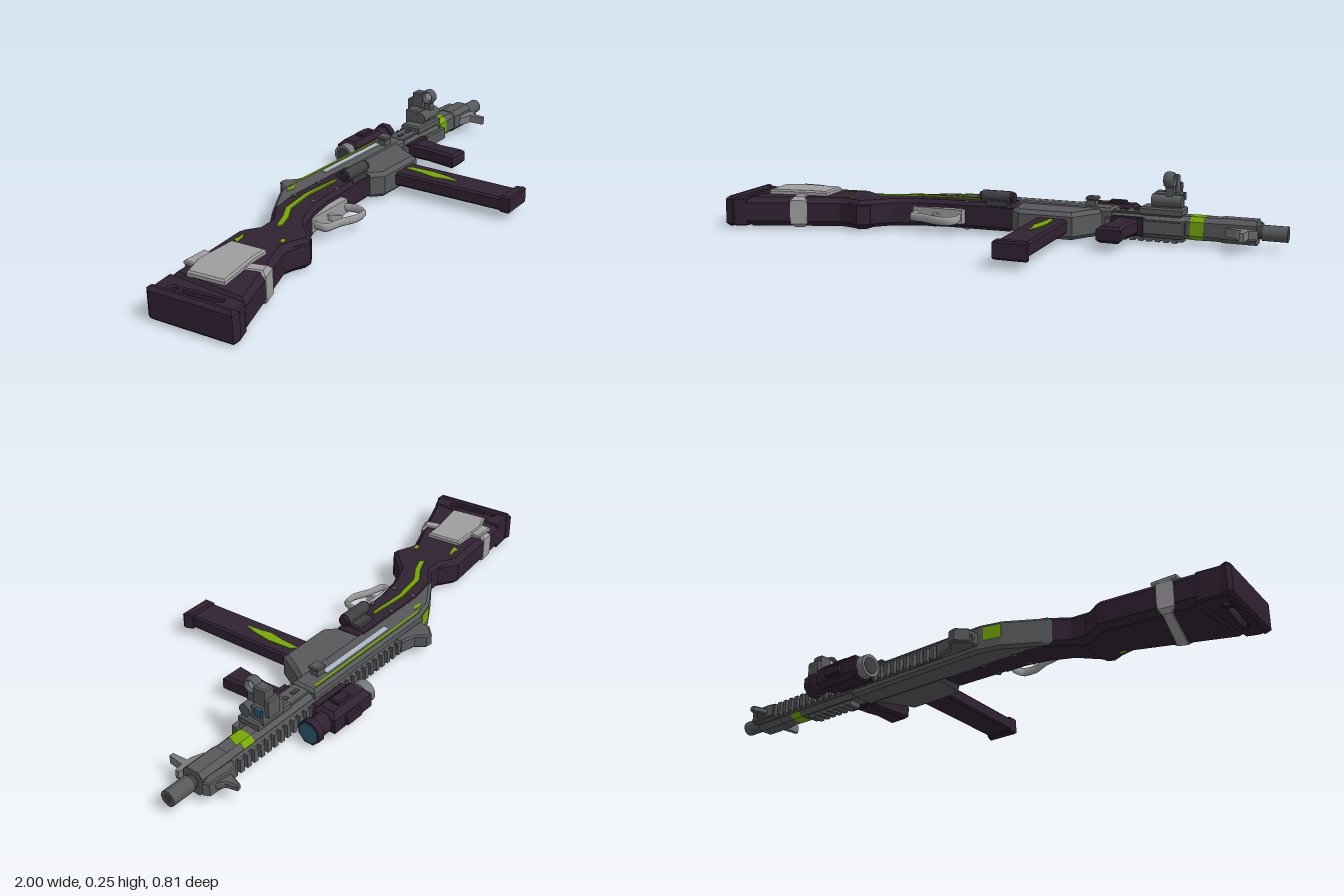
import * as THREE from 'three';

const M = {};
for (const [name, color] of Object.entries({
  darkPlum: 0x302232, gunGrey: 0x58595b, shadowGrey: 0x404043, midGrey: 0x77787a, lightGrey: 0x9e9e9e,
  paleSteel: 0xaebac4, acidGreen: 0x76a803, tealGlass: 0x2a5e74,
})) M[name] = new THREE.MeshStandardMaterial({ color, name });
const MID = 0.058; // middle of the thickness

export function createModel() {
  // Built upright: x forward, y up, z sideways; laid on its side at the end.
  const gun = new THREE.Group();
  gun.name = 'carbine';
  const add = (name, geo, mat) => {
    const m = new THREE.Mesh(geo, M[mat]);
    m.name = name;
    gun.add(m);
    return m;
  };
  // Side profile extruded from z0 to z1 with an inward chamfer
  const slab = (name, pts, z0, z1, mat, bevel = 0, holes = []) => {
    const s = new THREE.Shape(pts.map(p => new THREE.Vector2(...p)));
    for (const h of holes) s.holes.push(new THREE.Path(h.map(p => new THREE.Vector2(...p))));
    const geo = new THREE.ExtrudeGeometry(s, {
      depth: z1 - z0 - 2 * bevel, bevelEnabled: bevel > 0, bevelThickness: bevel,
      bevelSize: bevel, bevelOffset: -bevel, bevelSegments: 1,
    });
    geo.translate(0, 0, z0 + bevel);
    return add(name, geo, mat);
  };
  const box = (name, x0, x1, y0, y1, z0, z1, mat, bevel = 0) =>
    slab(name, [[x0, y0], [x1, y0], [x1, y1], [x0, y1]], z0, z1, mat, bevel);
  // Cylinder along x
  const tube = (name, x0, x1, y, z, r, mat, sides = 16) => {
    const geo = new THREE.CylinderGeometry(r, r, x1 - x0, sides);
    geo.rotateY(Math.PI / sides).rotateZ(-Math.PI / 2).translate((x0 + x1) / 2, y, z);
    return add(name, geo, mat);
  };
  // Eight-sided bar along x with corners cut by c
  const octagonBar = (name, x0, x1, y, h, w, c, mat) => {
    const pts = [[-w + c, -h], [w - c, -h], [w, -h + c], [w, h - c], [w - c, h], [-w + c, h], [-w, h - c], [-w, -h + c]];
    const geo = new THREE.ExtrudeGeometry(new THREE.Shape(pts.map(p => new THREE.Vector2(...p))),
      { depth: x1 - x0, bevelEnabled: false });
    return add(name, geo.rotateY(Math.PI / 2).translate(x0, y, MID), mat);
  };
  const ring = (cx, cy, r, n = 12) => Array.from({ length: n }, (_, i) =>
    [cx + r * Math.cos(i / n * 2 * Math.PI), cy + r * Math.sin(i / n * 2 * Math.PI)]);

  // Stock
  slab('buttEnd', [[-0.985, 0.12], [-0.955, -0.178], [-0.93, -0.18], [-0.89, -0.165], [-0.89, 0.133]],
    0.007, 0.109, 'darkPlum', 0.005,
    [[[-0.955, 0.03], [-0.935, 0.035], [-0.912, -0.105], [-0.925, -0.112], [-0.935, -0.1]], ring(-0.95, 0.062, 0.013)]);
  slab('buttPad', [[-1, 0.115], [-0.99, 0.13], [-0.968, 0.125], [-0.938, -0.187], [-0.968, -0.185]],
    0.004, 0.116, 'darkPlum', 0.011);
  slab('stockBody', [[-0.895, 0.133], [-0.895, -0.168], [-0.57, -0.042], [-0.53, -0.05], [-0.48, -0.072],
    [-0.44, -0.045], [-0.44, 0.13], [-0.49, 0.125], [-0.56, 0.168]], 0.006, 0.113, 'darkPlum', 0.02);
  slab('grip', [[-0.56, -0.03], [-0.52, -0.05], [-0.475, -0.068], [-0.445, -0.045], [-0.38, 0.025], [-0.3, 0.06],
    [-0.2, 0.08], [0.06, 0.09], [0.06, 0.203], [-0.26, 0.203], [-0.36, 0.185], [-0.44, 0.13], [-0.5, 0.125], [-0.56, 0.16]],
    0.013, 0.113, 'darkPlum', 0.014);
  slab('stockPlate', [[-0.88, 0.075], [-0.8, 0.105], [-0.65, 0.105], [-0.635, -0.025], [-0.7, -0.03], [-0.86, -0.06]],
    0.105, 0.13, 'lightGrey', 0.006);
  // Strap runs diagonally round the stock
  slab('stockStrap', [[-0.82, 0.142], [-0.765, 0.149], [-0.68, -0.088], [-0.738, -0.111]], 0.003, 0.117, 'lightGrey', 0.014);
  box('strapBuckle', -0.83, -0.74, 0.09, 0.135, 0.11, 0.126, 'lightGrey', 0.004);

  // Painted green splashes
  slab('gripStripe', [[-0.47, 0.075], [-0.41, 0.1], [-0.35, 0.137], [-0.22, 0.157], [-0.07, 0.148],
    [-0.07, 0.138], [-0.22, 0.142], [-0.34, 0.121], [-0.4, 0.083], [-0.46, 0.06]], 0.112, 0.118, 'acidGreen');
  slab('stockSplash', [[-0.63, 0.1], [-0.59, 0.11], [-0.57, 0.125], [-0.6, 0.12], [-0.62, 0.125]], 0.112, 0.115, 'acidGreen');
  const splash = [[-0.55, -0.02], [-0.525, -0.012], [-0.53, 0], [-0.55, -0.005]];
  slab('gripSplash', splash, 0.112, 0.115, 'acidGreen');
  slab('gripSplashFar', splash, 0.0045, 0.007, 'acidGreen');

  // Receiver
  slab('upperReceiver', [[-0.39, 0.165], [-0.36, 0.185], [-0.25, 0.25], [-0.17, 0.27], [0.4, 0.27], [0.4, 0.175], [-0.3, 0.175]],
    0.012, 0.11, 'gunGrey', 0.01);
  slab('magazineWell', [[0.05, 0.2], [0.06, 0.09], [0.1, 0.052], [0.3, 0.052], [0.34, 0.13], [0.38, 0.2]],
    0.01, 0.106, 'gunGrey', 0.014);
  box('boltStrip', -0.03, 0.3, 0.218, 0.24, 0.105, 0.114, 'paleSteel');
  box('chargingHandle', 0.3, 0.335, 0.195, 0.228, 0.1, 0.135, 'gunGrey', 0.005);
  box('chargingKnob', 0.298, 0.34, 0.192, 0.232, 0.13, 0.144, 'gunGrey', 0.004);
  slab('receiverStripe', [[-0.2, 0.249], [0.38, 0.249], [0.38, 0.257], [-0.17, 0.257]], 0.109, 0.112, 'acidGreen');
  slab('receiverSplash', [[-0.235, 0.228], [-0.2, 0.222], [-0.18, 0.235], [-0.21, 0.24]], 0.109, 0.112, 'acidGreen');
  slab('slopeSplash', [[-0.25, 0.248], [-0.19, 0.263], [-0.19, 0.2665], [-0.25, 0.2515]], 0.05, 0.095, 'acidGreen');
  for (const x of [-0.25, -0.12])
    for (const y of [0.1, 0.18]) slab('receiverPin', ring(x, y, 0.009), 0.01, 0.116, 'gunGrey');
  // Small lamp on the side of the frame
  box('lampMount', -0.04, 0.04, 0.09, 0.165, 0.1, 0.125, 'shadowGrey', 0.004);
  tube('lampBody', -0.06, 0.05, 0.112, 0.135, 0.022, 'shadowGrey', 12);
  tube('lampCap', 0.05, 0.062, 0.112, 0.135, 0.018, 'darkPlum', 12);
  tube('lampTail', -0.07, -0.06, 0.112, 0.135, 0.016, 'darkPlum', 12);

  // Trigger group
  const guard = new THREE.CatmullRomCurve3([[-0.3, 0.07], [-0.3, 0.01], [-0.24, -0.005], [-0.18, -0.03],
    [-0.13, -0.025], [-0.12, 0.02], [-0.14, 0.08]].map(p => new THREE.Vector3(...p, MID)), false, 'catmullrom', 0.3);
  add('triggerGuard', new THREE.TubeGeometry(guard, 28, 0.007, 6), 'lightGrey').geometry
    .translate(0, 0, -MID).scale(1, 1, 2.2).translate(0, 0, MID);
  slab('trigger', [[-0.235, 0.08], [-0.23, 0.04], [-0.205, 0.01], [-0.215, 0.045], [-0.2, 0.08]], 0.048, 0.068, 'lightGrey');
  box('triggerPlate', -0.33, -0.12, 0.054, 0.082, 0.034, 0.086, 'lightGrey');

  // Magazine
  slab('magazine', [[0.165, 0.06], [0.28, 0.06], [0.305, -0.37], [0.198, -0.37]], 0.033, 0.083, 'darkPlum', 0.007);
  slab('magazineBase', [[0.198, -0.363], [0.308, -0.363], [0.322, -0.392], [0.318, -0.4], [0.2, -0.403]],
    0.028, 0.09, 'darkPlum', 0.006);
  slab('magazineSplash', [[0.222, 0.047], [0.24, 0.03], [0.25, -0.06], [0.243, -0.13], [0.23, -0.18],
    [0.222, -0.12], [0.212, -0.08], [0.22, -0.02]], 0.082, 0.0845, 'acidGreen');

  // Fore-end and barrel
  slab('handguard', [[0.36, 0.175], [0.64, 0.17], [0.66, 0.19], [0.84, 0.19], [0.84, 0.265], [0.36, 0.265]],
    0.018, 0.098, 'gunGrey', 0.016);
  octagonBar('greenBand', 0.675, 0.722, 0.2275, 0.0385, 0.041, 0.0165, 'acidGreen');
  slab('greenBandEdge', [[0.722, 0.206], [0.728, 0.222], [0.738, 0.249], [0.722, 0.249]], 0.097, 0.099, 'acidGreen');
  octagonBar('frontBlock', 0.78, 0.9, 0.2275, 0.04, 0.0425, 0.017, 'gunGrey');
  tube('barrel', 0.89, 0.92, 0.225, MID, 0.022, 'shadowGrey');
  tube('muzzle', 0.915, 1, 0.225, MID, 0.027, 'gunGrey');
  tube('bore', 0.999, 1.0005, 0.225, MID, 0.016, 'shadowGrey');
  slab('lowerLug', [[0.8, 0.175], [0.84, 0.16], [0.855, 0.16], [0.86, 0.105], [0.875, 0.105], [0.88, 0.16], [0.91, 0.165], [0.91, 0.178], [0.84, 0.2]],
    0.043, 0.073, 'midGrey');
  // Rails with teeth
  box('topRail', -0.1, 0.85, 0.262, 0.279, 0.036, 0.08, 'gunGrey');
  for (let x = -0.09; x < 0.84; x += 0.03) box('topRailTooth', x, x + 0.017, 0.277, 0.292, 0.034, 0.082, 'gunGrey');
  box('sideRail', 0.43, 0.65, 0.202, 0.243, 0.006, 0.03, 'gunGrey');
  for (let x = 0.43; x < 0.64; x += 0.03) box('sideRailTooth', x, x + 0.017, 0.2, 0.245, 0, 0.012, 'gunGrey');
  box('lowerRail', 0.38, 0.66, 0.156, 0.178, 0.036, 0.08, 'gunGrey');
  box('sideSlotPlate', 0.4, 0.56, 0.185, 0.25, 0.095, 0.105, 'gunGrey', 0.003);
  for (const x of [0.42, 0.47, 0.52]) box('sideSlot', x, x + 0.03, 0.21, 0.224, 0.104, 0.108, 'shadowGrey');

  // Vertical foregrip
  slab('foregrip', [[0.42, 0.16], [0.505, 0.16], [0.5, 0.1], [0.492, 0.06], [0.5, -0.035], [0.415, -0.035],
    [0.42, 0.02], [0.425, 0.09]], 0.03, 0.086, 'darkPlum', 0.01);
  box('foregripClamp', 0.405, 0.52, 0.148, 0.172, 0.026, 0.09, 'darkPlum', 0.004);

  // Rear and front sights
  slab('rearSight', [[-0.17, 0.268], [-0.17, 0.31], [-0.135, 0.345], [-0.11, 0.342], [-0.085, 0.31], [-0.03, 0.295], [-0.02, 0.268]],
    0.034, 0.084, 'gunGrey', 0.006);
  tube('rearAperture', -0.172, -0.168, 0.292, MID, 0.012, 'shadowGrey');
  slab('frontSightBase', [[0.78, 0.268], [0.79, 0.295], [0.82, 0.3], [0.9, 0.295], [0.91, 0.275], [0.88, 0.265]],
    0.034, 0.084, 'gunGrey', 0.004);
  slab('frontSightPost', [[0.81, 0.29], [0.83, 0.35], [0.845, 0.352], [0.855, 0.315], [0.885, 0.29]], 0.046, 0.07, 'gunGrey', 0.005);

  // Scope
  box('scopeMount', 0.28, 0.43, 0.28, 0.315, 0.032, 0.086, 'darkPlum', 0.004);
  box('scopeBody', 0.265, 0.45, 0.303, 0.392, 0.016, 0.102, 'darkPlum', 0.018);
  box('scopeTurret', 0.33, 0.4, 0.385, 0.405, 0.04, 0.076, 'darkPlum', 0.004);
  box('scopeSideTurret', 0.34, 0.4, 0.33, 0.365, 0.098, 0.113, 'darkPlum', 0.004);
  tube('scopeFront', 0.44, 0.5, 0.345, MID, 0.036, 'darkPlum', 8);
  tube('scopeHood', 0.495, 0.52, 0.345, MID, 0.044, 'darkPlum', 8);
  tube('scopeLens', 0.519, 0.522, 0.345, MID, 0.036, 'tealGlass', 8);
  tube('scopeEyepiece', 0.235, 0.27, 0.345, MID, 0.04, 'midGrey');
  tube('scopeEyeLens', 0.233, 0.236, 0.345, MID, 0.03, 'shadowGrey');

  // Flip-out device on the side
  box('deviceMount', 0.5, 0.65, 0.175, 0.258, 0.095, 0.125, 'gunGrey', 0.006);
  box('deviceBody', 0.54, 0.635, 0.215, 0.265, 0.11, 0.175, 'gunGrey', 0.006);
  box('deviceClamp', 0.575, 0.625, 0.262, 0.28, 0.14, 0.205, 'gunGrey', 0.004);
  box('deviceWindow', 0.634, 0.642, 0.235, 0.262, 0.147, 0.172, 'tealGlass');
  box('deviceArm', 0.58, 0.62, 0.215, 0.26, 0.17, 0.234, 'gunGrey', 0.005);
  tube('deviceLamp', 0.54, 0.645, 0.198, 0.148, 0.022, 'gunGrey');
  box('deviceStalk', 0.59, 0.615, 0.185, 0.212, 0.16, 0.2, 'gunGrey');
  add('deviceRing', new THREE.TorusGeometry(0.023, 0.006, 8, 20).rotateY(Math.PI / 2)
    .scale(3, 1, 1).translate(0.6, 0.197, 0.221), 'gunGrey');
  tube('deviceLens', 0.599, 0.603, 0.197, 0.221, 0.021, 'paleSteel');

  gun.rotation.x = -Math.PI / 2;
  const model = new THREE.Group();
  model.add(gun);
  return model;
}
